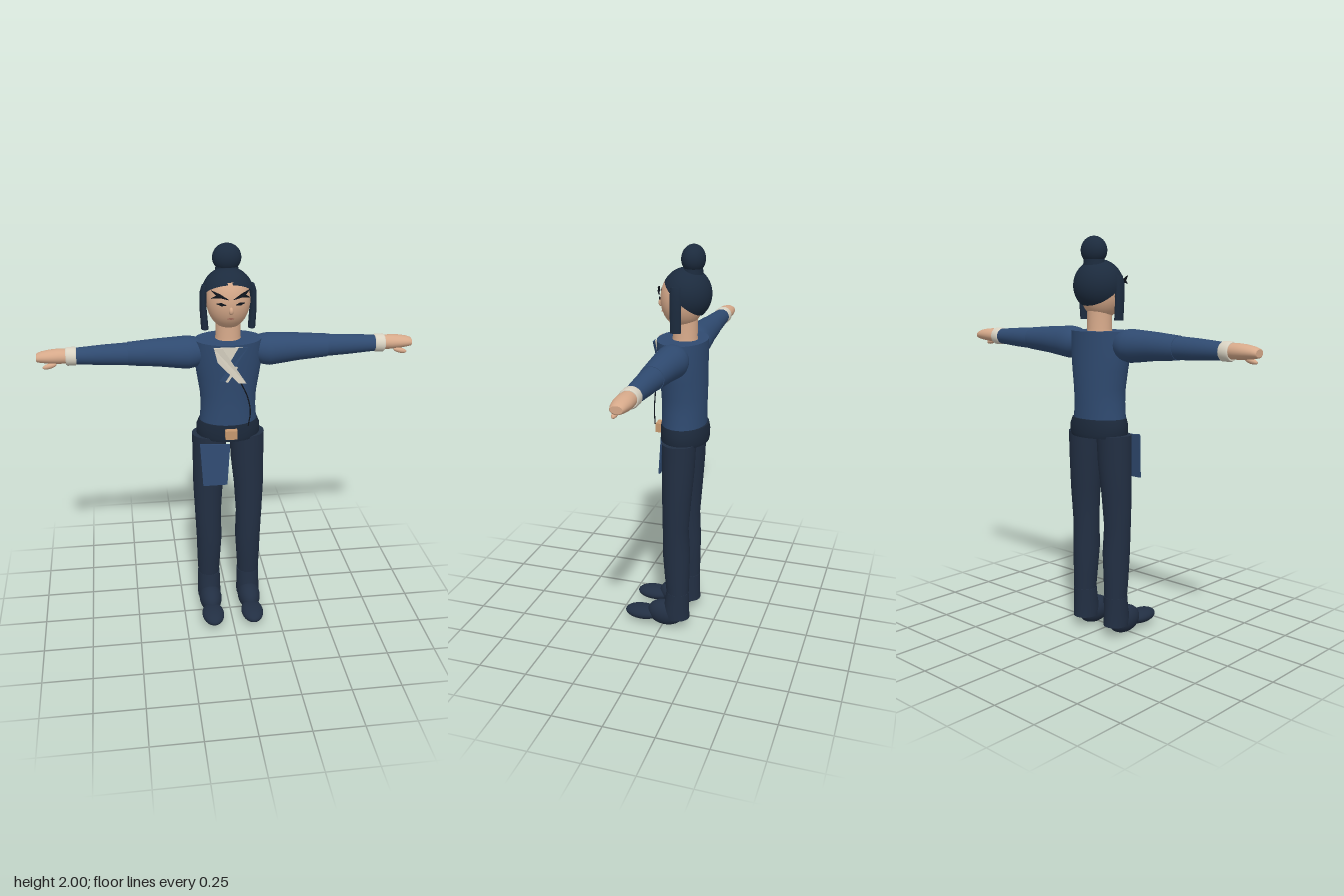
import * as THREE from 'three';

const mat = (name, color, side = THREE.FrontSide) => {
  const m = new THREE.MeshStandardMaterial({ color, side });
  m.name = name;
  return m;
};

// Smooth capped tube from elliptical rings: [height, cx, cz, rx, rz]
function loft(rings, n = 32) {
  const pos = [], idx = [];
  const addRing = ([y, cx, cz, rx, rz]) => {
    for (let i = 0; i < n; i++) {
      const a = (i / n) * Math.PI * 2;
      pos.push(cx + rx * Math.sin(a), y, cz + rz * Math.cos(a));
    }
  };
  rings.forEach(addRing);
  for (let r = 0; r < rings.length - 1; r++) {
    for (let i = 0; i < n; i++) {
      const a = r * n + i, b = r * n + ((i + 1) % n);
      idx.push(a, b, b + n, a, b + n, a + n);
    }
  }
  [rings[0], rings[rings.length - 1]].forEach((ring, k) => {
    const start = pos.length / 3;
    addRing(ring);
    pos.push(ring[1], ring[0], ring[2]);
    for (let i = 0; i < n; i++) {
      const a = start + i, b = start + ((i + 1) % n);
      if (k) idx.push(a, b, start + n); else idx.push(b, a, start + n);
    }
  });
  const g = new THREE.BufferGeometry();
  g.setAttribute('position', new THREE.Float32BufferAttribute(pos, 3));
  g.setIndex(idx);
  g.computeVertexNormals();
  return g;
}

// Thin plate facing +z, bent back towards its sides
function plate(points, z, depth = 0.006, bend = 0) {
  const shape = new THREE.Shape(points.map(([x, y]) => new THREE.Vector2(x, y)));
  const g = new THREE.ExtrudeGeometry(shape, { depth, bevelEnabled: false });
  const p = g.attributes.position;
  for (let i = 0; i < p.count; i++) p.setZ(i, p.getZ(i) + z - bend * p.getX(i) ** 2);
  g.computeVertexNormals();
  return g;
}

const ball = (x, y, z, rx, ry, rz) =>
  new THREE.SphereGeometry(1, 32, 20).scale(rx, ry, rz).translate(x, y, z);

export function createModel() {
  const group = new THREE.Group();
  const blue = mat('blue cloth', 0x2f4a70);
  const navy = mat('navy trousers', 0x222f43);
  const sash = mat('dark belt', 0x1c293b);
  const hair = mat('dark hair', 0x1c2b3e, THREE.DoubleSide);
  const skin = mat('skin', 0xd6a98a);
  const cream = mat('cream cloth', 0xd8d2c2);
  const brass = mat('buckle tan', 0xc6986f);
  const ink = mat('ink', 0x10151d);
  const lips = mat('lips', 0x9a6656);

  const add = (name, geometry, material) => {
    const m = new THREE.Mesh(geometry, material);
    m.name = name;
    group.add(m);
    return m;
  };

  // Torso and belt
  add('tunic', loft([
    [1.06, 0, -0.08, 0.15, 0.11], [1.12, 0, -0.08, 0.144, 0.11],
    [1.2, 0, -0.08, 0.138, 0.11], [1.27, 0, -0.08, 0.141, 0.112],
    [1.36, 0, -0.077, 0.155, 0.115], [1.43, 0, -0.073, 0.165, 0.118],
    [1.5, 0, -0.07, 0.167, 0.121], [1.548, 0, -0.069, 0.165, 0.122],
  ], 40), blue);
  add('belt', loft([
    [1.032, 0, -0.085, 0.155, 0.116], [1.05, 0, -0.085, 0.162, 0.12],
    [1.09, 0, -0.085, 0.161, 0.12], [1.122, 0, -0.083, 0.148, 0.116],
  ], 40), sash);
  add('buckle', new THREE.BoxGeometry(0.06, 0.046, 0.03).translate(0, 1.083, 0.05), brass);

  // Hanging cloth tilts forward towards its hem
  const flap = plate([[-0.157, 0.225], [-0.145, 0], [-0.022, 0], [-0.005, 0.215]], 0, 0.009);
  add('hangingCloth', flap.rotateX(-0.09).translate(0, 0.81, 0.058), blue);

  // Crossed collar
  add('undershirt', plate([[-0.085, 1.54], [-0.01, 1.41], [0.055, 1.54]], 0.054, 0.005, 0.8), cream);
  add('underLapel', plate([[-0.06, 1.375], [-0.03, 1.37], [0.08, 1.54], [0.035, 1.54]], 0.059, 0.005, 0.8), blue);
  add('lapelTrim', plate([[-0.03, 1.37], [-0.018, 1.365], [0.03, 1.44], [0.02, 1.447]], 0.06, 0.005, 0.8), cream);
  add('overLapel', plate([[-0.085, 1.54], [-0.068, 1.47], [0.035, 1.36], [0.072, 1.357], [-0.045, 1.54]],
    0.065, 0.006, 0.8), cream);
  add('tunicSeam', new THREE.TubeGeometry(new THREE.CatmullRomCurve3([
    [0.045, 1.36, 0.048], [0.08, 1.28, 0.047], [0.095, 1.2, 0.047], [0.085, 1.125, 0.047],
  ].map((p) => new THREE.Vector3(...p))), 24, 0.003, 8), ink);

  // Neck and head
  add('neck', loft([
    [1.53, 0, -0.08, 0.068, 0.066], [1.56, 0, -0.08, 0.061, 0.06], [1.66, 0, -0.08, 0.06, 0.06],
  ]), skin);
  add('head', ball(0, 1.742, -0.065, 0.106, 0.14, 0.105), skin);
  add('nose', ball(0, 1.715, 0.043, 0.011, 0.018, 0.012), skin);
  add('mouth', plate([[-0.018, 1.675], [0, 1.671], [0.018, 1.675], [0, 1.68]], 0.03, 0.006), lips);

  // Hair cap with its opening tilted to the face, and top bun
  add('hairCap', new THREE.SphereGeometry(1, 40, 20, 0, Math.PI * 2, 0, 1.72)
    .rotateX(-0.7).scale(0.126, 0.127, 0.12).translate(0, 1.765, -0.087), hair);
  add('bun', ball(0, 1.932, -0.118, 0.07, 0.068, 0.057), hair);
  add('bunBase', loft([
    [1.86, 0, -0.115, 0.06, 0.05], [1.885, 0, -0.117, 0.055, 0.045], [1.92, 0, -0.118, 0.055, 0.045],
  ]), hair);

  for (const s of [1, -1]) {
    const side = s > 0 ? 'left' : 'right';
    const part = (name, g, m) => add(side + name, g, m);

    // Face and side hair
    part('Brow', plate([[0.01, 1.77], [0.05, 1.779], [0.092, 1.774], [0.07, 1.789], [0.092, 1.813],
      [0.05, 1.796]].map(([x, y]) => [s * x, y]), 0.043, 0.007, 3), ink);
    part('Eye', plate([[0.022, 1.744], [0.045, 1.739], [0.068, 1.748], [0.045, 1.754]]
      .map(([x, y]) => [s * x, y]), 0.04, 0.006, 4), ink);
    part('Ear', ball(s * 0.106, 1.735, -0.075, 0.012, 0.03, 0.02), skin);
    part('SideLock', loft([
      [1.6, s * 0.114, -0.066, 0.018, 0.027], [1.7, s * 0.121, -0.067, 0.017, 0.028],
      [1.78, s * 0.121, -0.067, 0.016, 0.028], [1.815, s * 0.114, -0.067, 0.012, 0.024],
    ], 16), hair);

    // Arm pieces run outward: [x, height offset, ry, rz]
    const along = (name, rings, m) => part(name, loft(rings.map(
      ([x, dy, ry, rz]) => [x, -s * dy, 0, ry, rz]), 28)
      .rotateZ(-s * Math.PI / 2).translate(0, 1.488, -0.072), m);
    along('UpperSleeve', [[0.13, -0.003, 0.06, 0.06], [0.165, -0.004, 0.075, 0.077],
      [0.2, -0.005, 0.081, 0.083], [0.24, -0.004, 0.078, 0.08], [0.35, 0, 0.068, 0.07],
      [0.49, 0, 0.057, 0.06]], blue);
    along('LowerSleeve', [[0.48, 0, 0.055, 0.058], [0.6, 0, 0.05, 0.05], [0.74, 0, 0.04, 0.042]], blue);
    along('Cuff', [[0.735, 0, 0.04, 0.042], [0.741, 0, 0.045, 0.047], [0.779, 0, 0.045, 0.047],
      [0.786, 0, 0.04, 0.042]], cream);
    along('Hand', [[0.775, 0.002, 0.035, 0.038], [0.82, 0.003, 0.036, 0.043], [0.86, 0.003, 0.033, 0.043],
      [0.9, 0.002, 0.027, 0.037], [0.922, 0, 0.021, 0.031], [0.925, 0, 0.017, 0.027]], skin);
    part('Thumb', new THREE.SphereGeometry(1, 16, 12).scale(0.035, 0.013, 0.013)
      .rotateZ(-s * 0.25).translate(s * 0.865, 1.452, -0.045), skin);

    // Leg
    part('Trouser', loft([
      [0.2, s * 0.108, -0.08, 0.056, 0.058], [0.3, s * 0.107, -0.076, 0.061, 0.064],
      [0.44, s * 0.104, -0.071, 0.067, 0.071], [0.58, s * 0.109, -0.068, 0.068, 0.066],
      [0.75, s * 0.107, -0.073, 0.077, 0.074], [0.9, s * 0.099, -0.078, 0.085, 0.081],
      [1.044, s * 0.096, -0.08, 0.089, 0.085],
    ]), navy);

    // Boot
    part('BootShaft', loft([
      [0.062, s * 0.107, -0.075, 0.061, 0.068], [0.1, s * 0.107, -0.071, 0.062, 0.07],
      [0.15, s * 0.107, -0.076, 0.06, 0.064], [0.213, s * 0.107, -0.08, 0.06, 0.06],
    ]), navy);
    part('BootFoot', ball(s * 0.106, 0.075, -0.015, 0.06, 0.07, 0.1), navy);
    part('BootToe', ball(s * 0.106, 0.056, 0.115, 0.058, 0.036, 0.095), navy);
  }
  return group;
}
